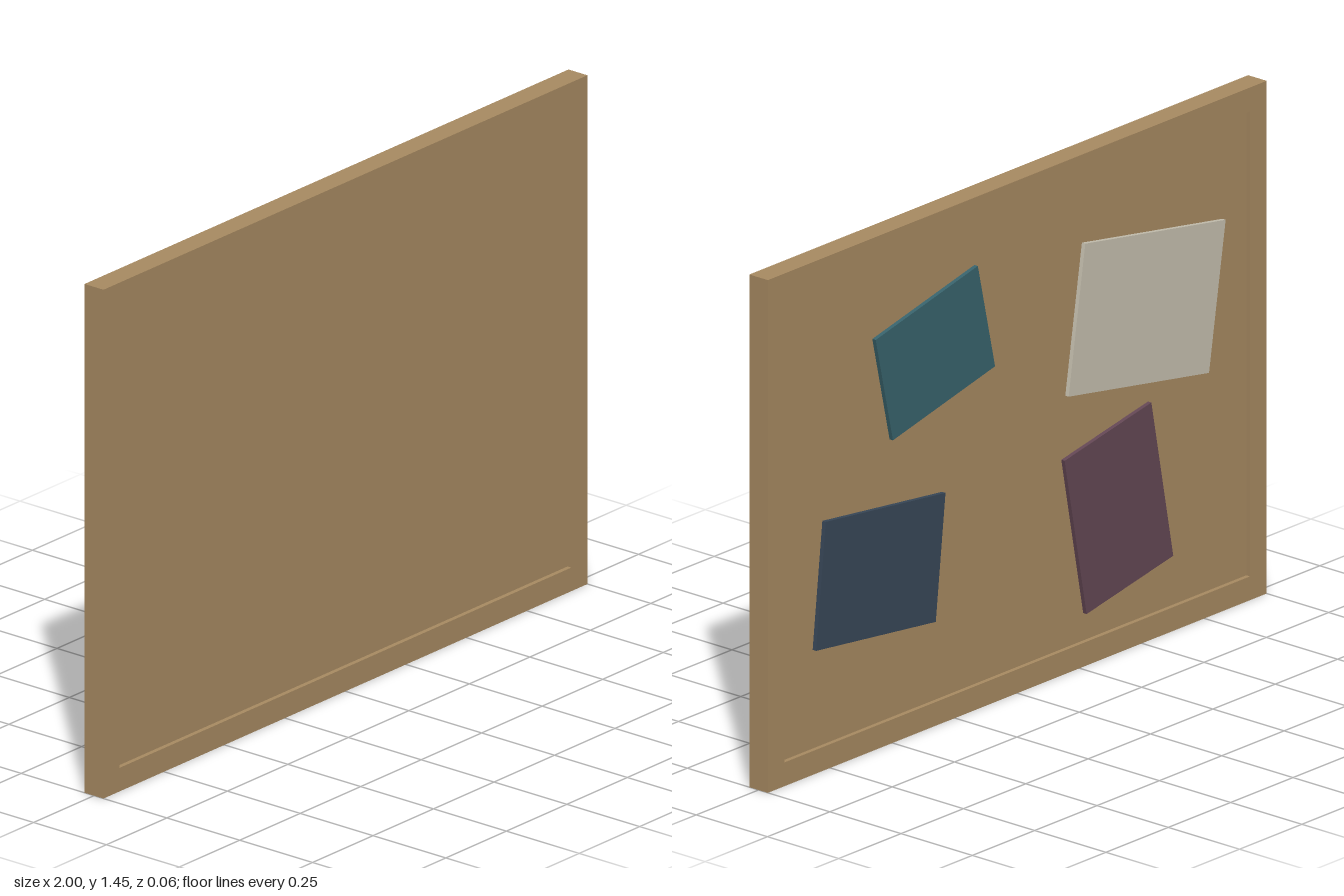
import * as THREE from 'three';

const W = 2, H = 1.445, D = 0.065;   // overall board
const BORDER = 0.067, RECESS = 0.013; // frame width, panel inset on both faces

export function createModel() {
  const mat = (name, color) => {
    const m = new THREE.MeshStandardMaterial({ color });
    m.name = name;
    return m;
  };
  const wood = mat('wood', 0xa98b62);
  const group = new THREE.Group();
  group.name = 'pinboard';

  const add = (parent, name, geometry, material, x, y, z, angle = 0) => {
    const mesh = new THREE.Mesh(geometry, material);
    mesh.name = name;
    mesh.position.set(x, y, z);
    mesh.rotation.z = angle;
    parent.add(mesh);
  };

  // Frame: one rectangular ring
  const rect = (path, w, h) => path
    .moveTo(-w / 2, -h / 2).lineTo(w / 2, -h / 2).lineTo(w / 2, h / 2).lineTo(-w / 2, h / 2).closePath();
  const outline = new THREE.Shape();
  rect(outline, W, H);
  const opening = new THREE.Path();
  rect(opening, W - 2 * BORDER, H - 2 * BORDER);
  outline.holes.push(opening);
  const frame = new THREE.ExtrudeGeometry(outline, { depth: D, bevelEnabled: false });
  add(group, 'frame', frame, wood, 0, H / 2, -D / 2);

  // Panel, set back from the frame on both sides
  const panelDepth = D - 2 * RECESS;
  add(group, 'panel', new THREE.BoxGeometry(W - 2 * BORDER, H - 2 * BORDER, panelDepth), wood, 0, H / 2, 0);

  // Tilted cards on the back; the group is turned so +z points backwards
  const cards = new THREE.Group();
  cards.name = 'cards';
  cards.rotation.y = Math.PI;
  group.add(cards);
  const thickness = 0.012;
  const list = [
    ['tealCard', 'teal', 0x39646d, -0.327, 1.05, 0.42, 0.31, 0.225],
    ['navyCard', 'navy', 0x394859, -0.546, 0.495, 0.483, 0.355, -0.11],
    ['paleCard', 'pale grey', 0xc7c1b0, 0.522, 0.938, 0.57, 0.418, -0.16],
    ['plumCard', 'plum', 0x654855, 0.409, 0.406, 0.354, 0.465, 0.19],
  ];
  for (const [name, colour, hex, x, y, w, h, angle] of list) {
    add(cards, name, new THREE.BoxGeometry(w, h, thickness), mat(colour, hex),
      x, y, panelDepth / 2 + thickness / 2, angle);
  }
  return group;
}
